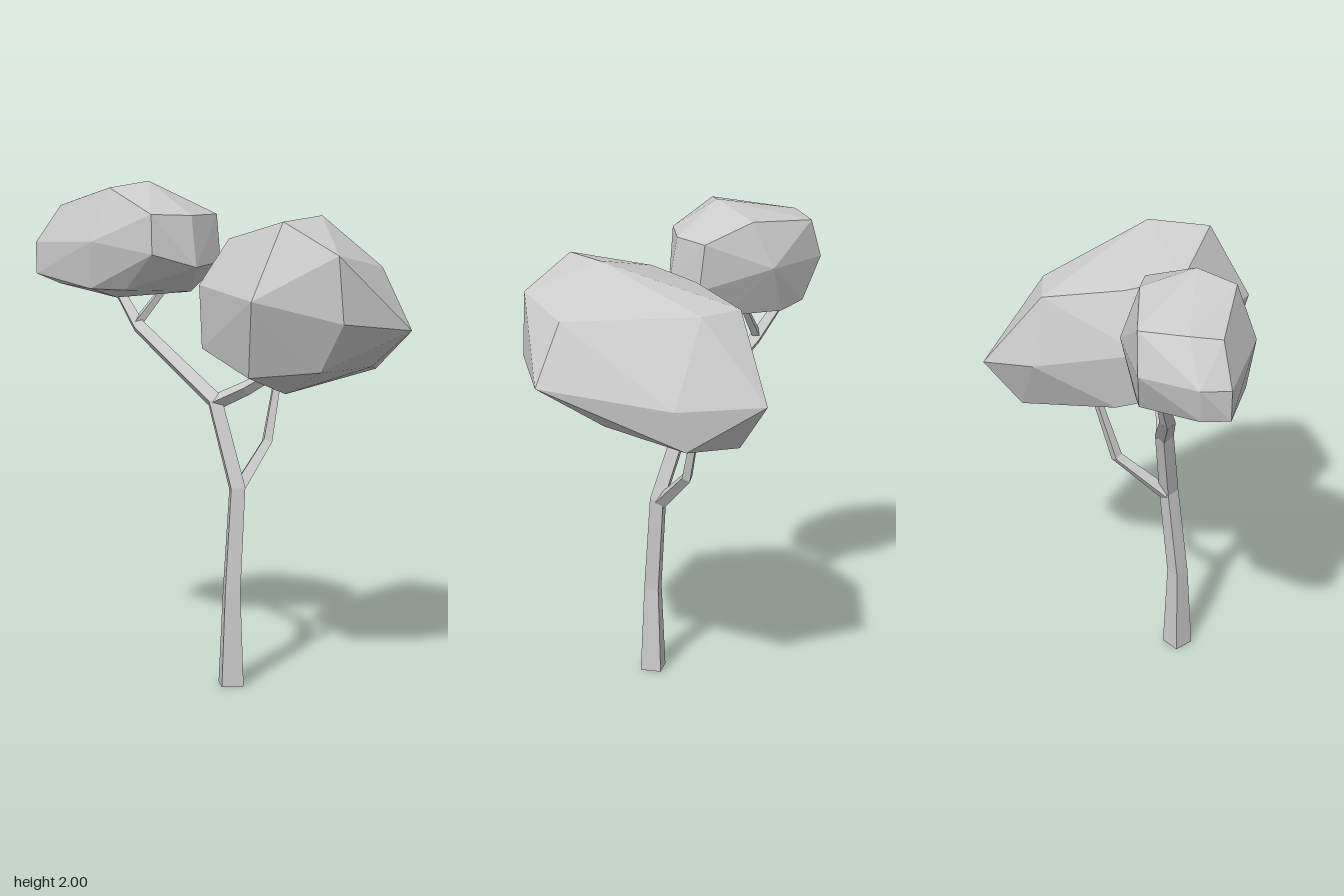
import * as THREE from 'three';
import { ConvexGeometry } from 'three/addons/geometries/ConvexGeometry.js';

const clay = new THREE.MeshStandardMaterial({ color: 0xcccccc, flatShading: true });
clay.name = 'pale grey';

const vec = (p) => new THREE.Vector3(p[0], p[1], p[2]);

// Four-sided tapering limb; each knot is [x, y, z, radius]
function limb(name, knots) {
  const pts = knots.map(vec);
  const pos = [], idx = [];
  const n = pts.length;
  pts.forEach((p, i) => {
    const t = new THREE.Vector3();
    if (p.y === 0) t.set(0, 1, 0); // flat foot on the ground
    else {
      if (i > 0) t.add(p.clone().sub(pts[i - 1]).normalize());
      if (i < n - 1) t.add(pts[i + 1].clone().sub(p).normalize());
      t.normalize();
    }
    const u = new THREE.Vector3(1, 0, 0);
    u.addScaledVector(t, -u.dot(t)).normalize();
    const w = t.clone().cross(u);
    for (let k = 0; k < 4; k++) {
      const a = (k * Math.PI) / 2, r = knots[i][3];
      const q = p.clone().addScaledVector(u, r * Math.cos(a)).addScaledVector(w, r * Math.sin(a));
      pos.push(q.x, q.y, q.z);
    }
  });
  for (let i = 0; i < n - 1; i++) {
    for (let k = 0; k < 4; k++) {
      const a = i * 4 + k, b = i * 4 + ((k + 1) % 4);
      idx.push(a, b, b + 4, a, b + 4, a + 4);
    }
  }
  const e = (n - 1) * 4;
  idx.push(0, 2, 1, 0, 3, 2, e, e + 1, e + 2, e, e + 2, e + 3);
  const indexed = new THREE.BufferGeometry();
  indexed.setAttribute('position', new THREE.Float32BufferAttribute(pos, 3));
  indexed.setIndex(idx);
  const geo = indexed.toNonIndexed();
  geo.computeVertexNormals();
  const mesh = new THREE.Mesh(geo, clay);
  mesh.name = name;
  return mesh;
}

// Faceted leaf mass spanning its corner points
function crown(name, corners) {
  const mesh = new THREE.Mesh(new ConvexGeometry(corners.map(vec)), clay);
  mesh.name = name;
  return mesh;
}

export function createModel() {
  const tree = new THREE.Group();
  tree.name = 'tree';

  // Trunk bends back into the main bough
  tree.add(limb('trunk', [
    [-0.26, 0, 0.1, 0.062], [-0.255, 0.38, 0.1, 0.043], [-0.212, 0.79, 0.097, 0.04],
    [-0.195, 1.13, -0.025, 0.038], [-0.22, 1.41, -0.39, 0.031], [-0.2, 1.62, -0.56, 0.02],
  ]));
  tree.add(limb('sideBranch', [
    [-0.205, 0.775, 0.09, 0.032], [0.005, 0.95, 0.09, 0.025], [0.1, 1.27, 0.09, 0.017],
  ]));
  tree.add(limb('frontBranch', [
    [-0.195, 1.12, -0.03, 0.032], [-0.18, 1.19, 0.12, 0.029], [-0.16, 1.26, 0.24, 0.024],
  ]));
  tree.add(limb('backTwig', [
    [-0.22, 1.42, -0.4, 0.022], [-0.16, 1.58, -0.29, 0.016],
  ]));

  // Large front crown: top, middle, underside
  tree.add(crown('largeCrown', [
    [-0.1, 1.873, 0.42], [-0.35, 1.857, 0.41], [0.306, 1.71, 0.21], [0.295, 1.71, 0.025],
    [-0.03, 1.75, 0.025], [-0.257, 1.78, 0.09], [-0.02, 1.68, 0.645], [-0.315, 1.735, 0.637],
    [0.54, 1.39, 0.065], [0, 1.44, 0.767], [-0.307, 1.48, 0.655], [-0.515, 1.566, 0.38],
    [0.405, 1.39, 0.395], [0.33, 1.434, -0.04], [-0.11, 1.53, -0.088], [-0.314, 1.6, -0.012],
    [0.39, 1.19, 0.09], [0.415, 1.225, 0.35], [-0.15, 1.175, 0.285], [-0.42, 1.265, 0.3],
    [-0.29, 1.29, 0.54], [0.1, 1.275, 0.525], [0, 1.26, -0.04], [-0.15, 1.31, -0.06],
    [-0.3, 1.35, -0.01],
  ]));

  // Small rear crown: top, middle, underside
  tree.add(crown('smallCrown', [
    [-0.314, 2, -0.26], [-0.106, 1.936, -0.3], [-0.465, 1.975, -0.335], [-0.3, 1.92, -0.645],
    [-0.114, 1.91, -0.596], [-0.424, 1.9, -0.624], [-0.114, 1.868, -0.073], [-0.3, 1.868, -0.058],
    [-0.457, 1.875, -0.135], [-0.46, 1.72, -0.13], [-0.347, 1.767, -0.767], [-0.46, 1.75, -0.727],
    [-0.12, 1.75, -0.65], [-0.037, 1.75, -0.355], [-0.543, 1.767, -0.367], [-0.314, 1.667, -0.025],
    [-0.12, 1.68, -0.05], [-0.14, 1.555, -0.185], [-0.12, 1.575, -0.56], [-0.1, 1.55, -0.44],
    [-0.35, 1.624, -0.735], [-0.46, 1.625, -0.725], [-0.3, 1.53, -0.44], [-0.44, 1.575, -0.28],
    [-0.51, 1.58, -0.4], [-0.46, 1.59, -0.6],
  ]));
  return tree;
}
